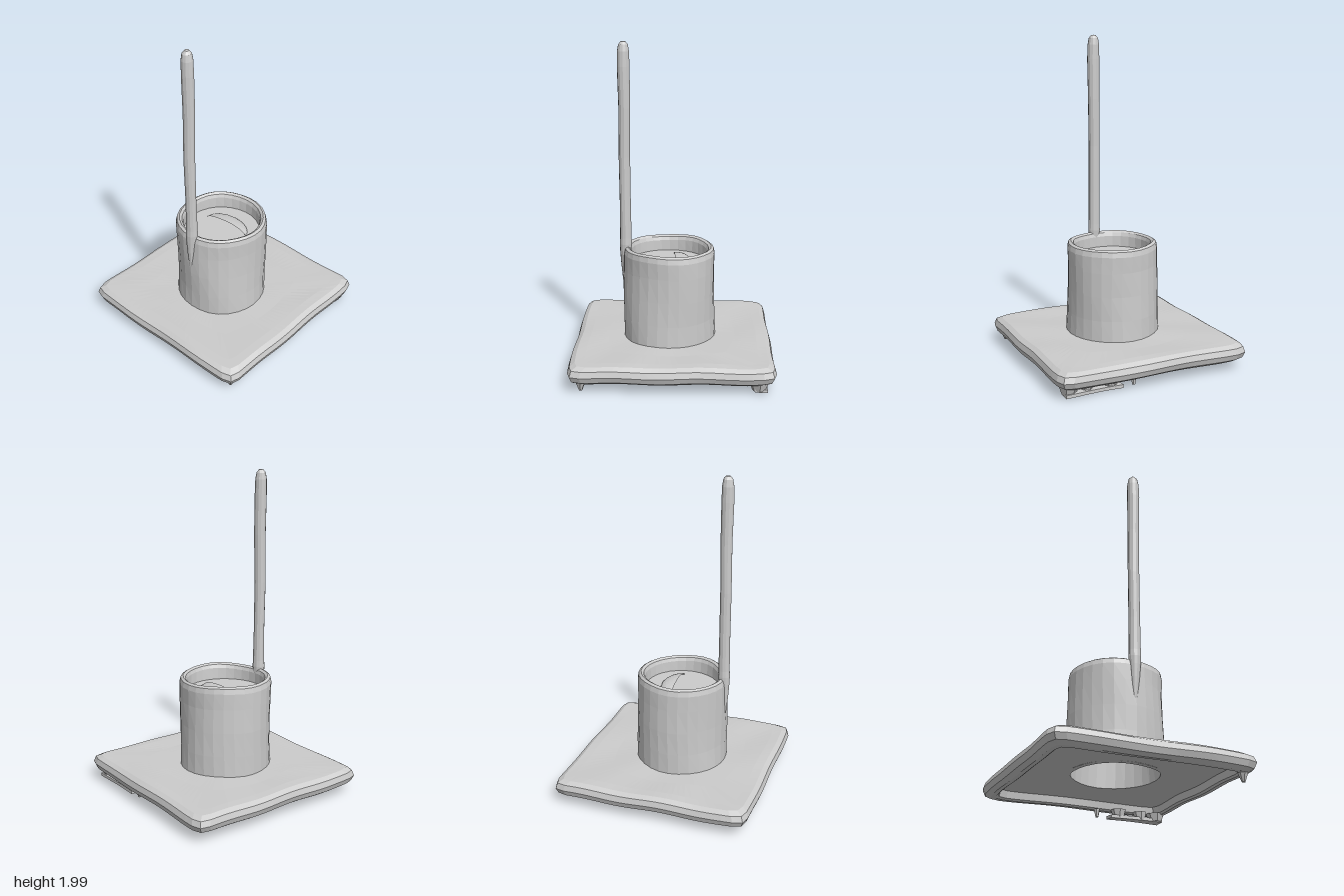
import * as THREE from 'three';

const material = new THREE.MeshStandardMaterial({ color: 0xcccccc, flatShading: true });

// Gentle hand-made unevenness, continuous in space
function wobble(geometry, amount) {
  const p = geometry.attributes.position;
  for (let i = 0; i < p.count; i++) {
    const x = p.getX(i), y = p.getY(i), z = p.getZ(i);
    p.setXYZ(i,
      x + amount * Math.sin(9 * y + 11 * z),
      y + amount * Math.sin(13 * x + 8 * z + 1),
      z + amount * Math.sin(10 * x + 7 * y + 2));
  }
  geometry.computeVertexNormals();
  return geometry;
}

function add(parent, name, geometry, x = 0, y = 0, z = 0) {
  const mesh = new THREE.Mesh(geometry, material);
  mesh.name = name;
  mesh.position.set(x, y, z);
  parent.add(mesh);
  return mesh;
}

const lathe = (points, sides) =>
  new THREE.LatheGeometry(points.map(([r, y]) => new THREE.Vector2(r, y)), sides);

// Turned ring whose outer part is pushed out to a rounded square around a round opening
function squarePlate(points, openingX) {
  const geometry = lathe(points, 96);
  const p = geometry.attributes.position;
  for (let i = 0; i < p.count; i++) {
    const x = p.getX(i), z = p.getZ(i), r = Math.hypot(x, z);
    const k = THREE.MathUtils.clamp((r - 0.3) / 0.2, 0, 1);
    const square = (Math.abs(x / r) ** 22 + Math.abs(z / r) ** 22) ** (-1 / 22);
    const scale = 1 + k * (square - 1);
    p.setX(i, x * scale + openingX * (1 - k));
    p.setZ(i, z * scale);
  }
  return geometry;
}

export function createModel() {
  const model = new THREE.Group();
  const cx = -0.026;

  // Square base plate: rounded edge, recessed underside, round opening under the tube
  const plate = squarePlate([
    [0.27, 0.115], [0.4, 0.115], [0.528, 0.115], [0.535, 0.072], [0.548, 0.062], [0.575, 0.062],
    [0.603, 0.08], [0.616, 0.115], [0.605, 0.15], [0.575, 0.168], [0.52, 0.17], [0.4, 0.168], [0.27, 0.17],
  ], cx);
  add(model, 'basePlate', wobble(plate, 0.003));

  // Open tube with a soft, uneven rim
  const tube = lathe([
    [0.258, 0.115], [0.29, 0.115], [0.289, 0.17], [0.286, 0.3], [0.285, 0.45], [0.284, 0.6], [0.285, 0.7],
    [0.278, 0.732], [0.262, 0.742], [0.246, 0.732], [0.238, 0.71], [0.235, 0.64], [0.242, 0.6],
    [0.25, 0.4], [0.258, 0.115],
  ], 28);
  add(model, 'tube', wobble(tube, 0.004), cx);

  // Recessed disc closing the tube just below the rim
  add(model, 'tubeFloor', new THREE.CylinderGeometry(0.242, 0.246, 0.04, 28), cx, 0.62, 0);

  // Half-moon lump on the disc, steep on its straight side
  const lump = new THREE.SphereGeometry(1, 8, 6, Math.PI / 2, Math.PI, 0, Math.PI / 2);
  lump.scale(0.1, 0.035, 0.16);
  const lumpMesh = add(model, 'floorLump', wobble(lump, 0.006), 0.008, 0.638, 0);
  lumpMesh.material = material.clone();
  lumpMesh.material.side = THREE.DoubleSide;

  // Tall thin rod growing out of the side of the tube
  const rod = lathe([
    [0, 0.45], [0.016, 0.5], [0.028, 0.62], [0.035, 0.7], [0.038, 0.75], [0.036, 0.79], [0.034, 1.0],
    [0.035, 1.3], [0.036, 1.6], [0.038, 1.85], [0.036, 1.94], [0.029, 1.98], [0.014, 1.998], [0, 2],
  ], 12);
  add(model, 'rod', wobble(rod, 0.002), -0.298);

  // Ragged remains of feet beneath the front corners
  const feet = new THREE.Group();
  feet.name = 'feet';
  model.add(feet);
  const strip = new THREE.BoxGeometry(0.075, 0.02, 0.36, 3, 1, 8);
  add(feet, 'leftFootStrip', wobble(strip, 0.004), 0.522, 0.022, 0.385);
  [[0.53, 0.06], [0.42, 0.045], [0.27, 0.05]].forEach(([z, radius]) => {
    const stub = new THREE.CylinderGeometry(radius, radius * 0.7, 0.05, 7);
    add(feet, 'leftFootStub', wobble(stub, 0.005), 0.515, 0.042, z);
  });
  add(feet, 'rightFootPeg', new THREE.CylinderGeometry(0.034, 0.011, 0.06, 7), -0.535, 0.04, 0.54);
  add(feet, 'smallPeg', new THREE.CylinderGeometry(0.02, 0.01, 0.05, 6), 0.54, 0.042, 0.135);

  return model;
}
